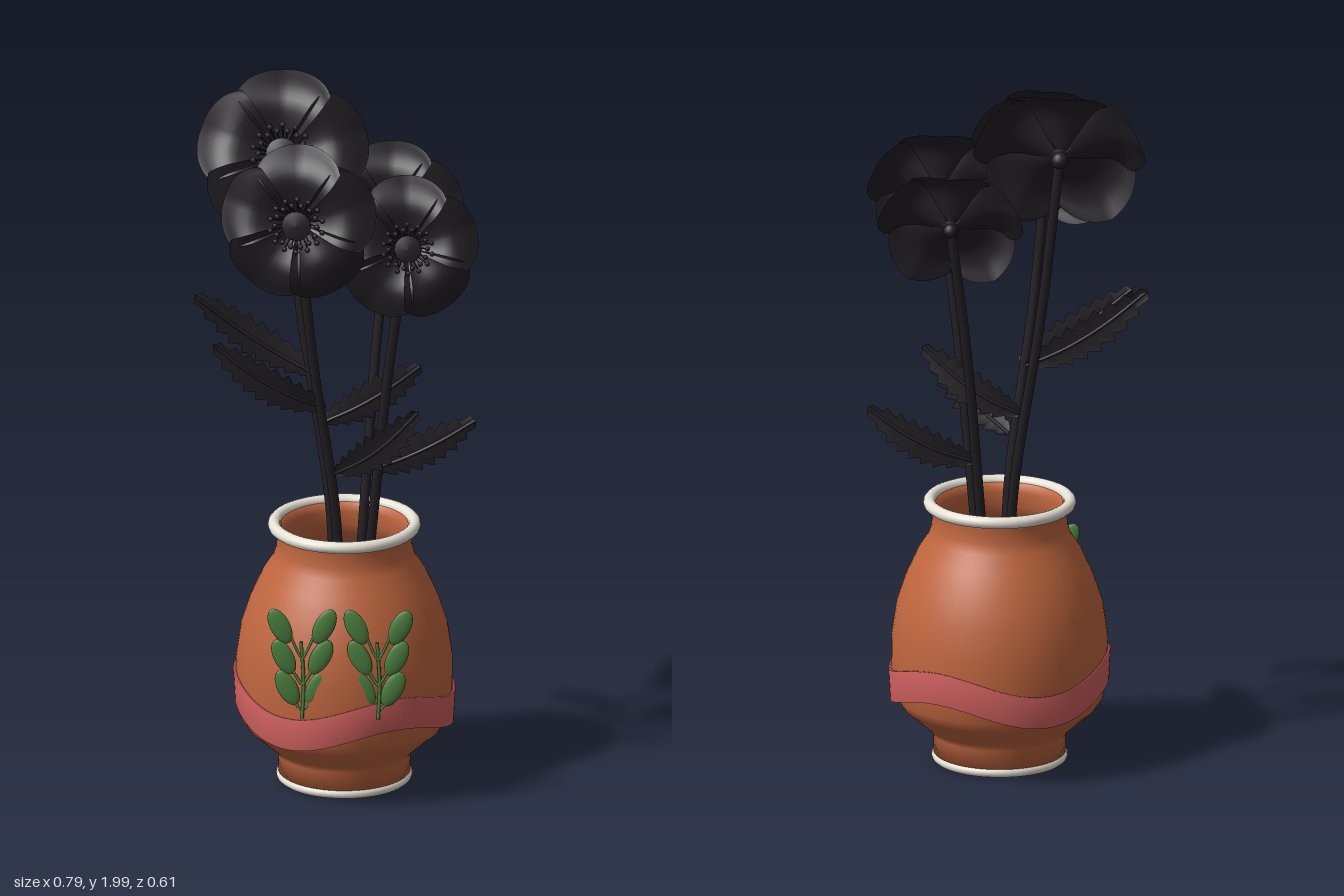
import * as THREE from 'three';

const V = (x, y, z) => new THREE.Vector3(x, y, z);
const mat = (color) => new THREE.MeshStandardMaterial({ color, side: THREE.DoubleSide });
const clay = mat(0xc0663f), pink = mat(0xd0605f), white = mat(0xe6e2d6);
const green = mat(0x4c8040), black = mat(0x231f24);

function add(parent, name, geometry, material) {
  const mesh = new THREE.Mesh(geometry, material);
  mesh.name = name;
  parent.add(mesh);
  return mesh;
}

// Surface from a rule p(u, v), u and v in 0..1
function surface(p, nu, nv) {
  const pos = [], idx = [];
  for (let i = 0; i <= nu; i++) {
    for (let j = 0; j <= nv; j++) {
      pos.push(...p(i / nu, j / nv));
      if (i < nu && j < nv) {
        const a = i * (nv + 1) + j, b = a + nv + 1;
        idx.push(a, b, a + 1, b, b + 1, a + 1);
      }
    }
  }
  const g = new THREE.BufferGeometry();
  g.setAttribute('position', new THREE.Float32BufferAttribute(pos, 3));
  g.setIndex(idx);
  g.computeVertexNormals();
  return g;
}

const tube = (points, r, n = 24) =>
  new THREE.TubeGeometry(new THREE.CatmullRomCurve3(points), n, r, 8);

function makeVase() {
  const vase = new THREE.Group();
  vase.name = 'vase';
  vase.position.x = 0.02;
  // Outer wall, then back down the inside
  const wall = [[0.182, 0.015], [0.184, 0.08], [0.2, 0.1], [0.268, 0.16], [0.287, 0.19], [0.298, 0.26],
    [0.299, 0.36], [0.285, 0.455], [0.26, 0.53], [0.226, 0.605], [0.197, 0.65], [0.188, 0.68],
    [0.185, 0.72], [0.192, 0.745]];
  const outer = [[0.001, 0.015], ...wall];
  const inner = wall.map(([r, y]) => [r - 0.018, Math.max(y, 0.035)]).reverse();
  const profile = [...outer, ...inner, [0.001, 0.035]].map(([r, y]) => new THREE.Vector2(r, y));
  add(vase, 'body', new THREE.LatheGeometry(profile, 64), clay);

  const ring = (name, r, t, y) => {
    const m = add(vase, name, new THREE.TorusGeometry(r, t, 12, 64), white);
    m.rotation.x = Math.PI / 2;
    m.position.y = y;
  };
  ring('rim', 0.194, 0.017, 0.745);
  ring('footRing', 0.174, 0.014, 0.016);

  // Wavy ribbon around the belly, with a thin section
  const section = [[0.292, -0.045], [0.302, -0.045], [0.307, 0.045], [0.292, 0.045], [0.292, -0.045]];
  add(vase, 'wavyBand', surface((u, v) => {
    const a = u * Math.PI * 2, [r, dy] = section[Math.round(v * 4)];
    return [r * Math.cos(a), 0.25 - 0.03 * Math.cos(3 * a) + dy, r * Math.sin(a)];
  }, 96, 4), pink);
  return vase;
}

// Raised sprig of paired oval leaves
function makeSprig(x) {
  const sprig = new THREE.Group();
  sprig.name = 'sprig';
  sprig.position.set(x, 0, 0.282);
  add(sprig, 'sprigStem', tube([V(0, 0.28, 0.012), V(0.004, 0.38, 0), V(-0.003, 0.5, 0)], 0.005), green);
  for (const side of [-1, 1]) {
    for (let i = 0; i < 3; i++) {
      const leaf = add(sprig, 'sprigLeaf', new THREE.SphereGeometry(1, 16, 12), green);
      leaf.scale.set(0.028, 0.055, 0.009);
      leaf.position.set(side * (0.041 + i * 0.01), 0.365 + i * 0.09, 0);
      leaf.rotation.z = -side * 0.45;
      const twig = [V(0, 0.3 + i * 0.075, 0.002), V(side * 0.012, 0.31 + i * 0.08, 0), V(side * 0.03, 0.335 + i * 0.088, 0)];
      add(sprig, 'twig', tube(twig, 0.004, 6), green);
    }
  }
  return sprig;
}

// Forward reach of a petal along its length
const reach = new THREE.SplineCurve([[0, 0], [0.3, 0.1], [0.58, 0.16], [0.8, 0.07], [1, -0.12]]
  .map(([s, w]) => new THREE.Vector2(s, w)));

function makeFlower({ at, R, tilt, yaw }) {
  const flower = new THREE.Group();
  flower.name = 'flower';
  flower.position.set(...at);
  flower.rotation.set(-tilt, yaw, 0, 'YXZ');
  flower.scale.setScalar(R);

  // Cupped petal with a creased tip that curls back
  const petal = surface((u, v) => {
    const t = v * 2 - 1, k = Math.abs(t), p = reach.getPoint(u);
    const a = t * 0.76 * (1 - 0.1 * u * u);
    const s = p.x * (1 - 0.13 * u * k * k * k);
    const w = p.y + u * (0.16 * u * k + 0.16 * k * k + 0.03 * t);
    return [s * Math.sin(a), s * Math.cos(a), w];
  }, 14, 18);
  for (let i = 0; i < 5; i++) {
    add(flower, 'petal', petal, black).rotation.z = i * Math.PI * 0.4;
  }

  // Seed head with a broad cap
  const head = [[0, 0], [0.1, 0.02], [0.15, 0.12], [0.15, 0.22], [0.19, 0.25], [0.18, 0.28], [0, 0.3]];
  const pod = add(flower, 'seedHead',
    new THREE.LatheGeometry(head.map(([r, y]) => new THREE.Vector2(r, y)), 20), black);
  pod.rotation.x = Math.PI / 2;

  // Two rings of stamens
  const anther = new THREE.SphereGeometry(0.036, 8, 6);
  for (let i = 0; i < 28; i++) {
    const a = i / 28 * Math.PI * 2, r = i % 2 ? 0.34 : 0.27, w = i % 2 ? 0.24 : 0.28;
    const c = Math.cos(a), s = Math.sin(a);
    add(flower, 'anther', anther, black).position.set(r * c, r * s, w);
    const path = [V(0.08 * c, 0.08 * s, 0.03), V(r * 0.8 * c, r * 0.8 * s, w * 0.6), V(r * c, r * s, w)];
    add(flower, 'filament', tube(path, 0.01, 5), black);
  }
  // Rounded base behind the petals
  const base = add(flower, 'flowerBase', new THREE.SphereGeometry(0.1, 12, 8), black);
  base.position.z = -0.03;
  return flower;
}

// Toothed leaf folded along its midrib, bowing away from the bunch
function makeLeaf(base, tip) {
  const leaf = new THREE.Group();
  leaf.name = 'leaf';
  const d = tip.clone().sub(base), n = V(-d.y, d.x, 0).normalize(), out = Math.sign(tip.z);
  const mid = (u) => base.clone().addScaledVector(d, u)
    .add(V(0, -0.02 * Math.sin(u * Math.PI), 0.016 * out * Math.sin(u * Math.PI)));
  const teeth = 18;
  add(leaf, 'blade', surface((u, v) => {
    const t = v * 2 - 1, odd = Math.round(u * teeth) % 2;
    const edge = 0.056 * Math.pow(Math.sin(Math.PI * (0.04 + 0.96 * u)), 0.6) * (odd ? 1 : 0.64);
    const p = mid(u + (odd ? 0.03 * Math.abs(t) : 0)).addScaledVector(n, t * edge);
    return [p.x, p.y, p.z + 0.006 * out * Math.abs(t)];
  }, teeth, 2), black);
  add(leaf, 'midrib', tube([0, 0.33, 0.66, 1].map(mid), 0.005, 12), black);
  return leaf;
}

export function createModel() {
  const model = new THREE.Group();
  model.name = 'vaseOfFlowers';
  model.add(makeVase(), makeSprig(-0.085), makeSprig(0.125));

  // neck: where each stem passes the mouth of the vase
  const flowers = [
    { at: [-0.155, 1.78, -0.12], R: 0.24, tilt: 0.42, yaw: 0, neck: [-0.02, 0.77, -0.045] },
    { at: [-0.1, 1.69, 0.172], R: 0.217, tilt: 0.18, yaw: -0.07, neck: [0, 0.77, 0.052] },
    { at: [0.197, 1.6, 0.115], R: 0.2, tilt: 0.28, yaw: 0.1, neck: [0.1, 0.77, 0.045] },
    { at: [0.142, 1.59, -0.187], R: 0.203, tilt: 0.42, yaw: 0, neck: [0.072, 0.77, -0.055] },
  ];
  for (const f of flowers) {
    model.add(makeFlower(f));
    const top = V(...f.at), neck = V(...f.neck);
    const foot = V(neck.x * 0.6 + 0.005, 0.4, neck.z * 0.5);
    const bend = neck.clone().lerp(top, 0.55).add(V(-0.008, 0, 0));
    add(model, 'stem', tube([foot, neck, bend, top], 0.0135, 32), black);
  }

  const leaves = [
    [V(-0.06, 1.16, -0.06), V(-0.395, 1.385, -0.06)],
    [V(-0.03, 1.12, 0.095), V(-0.335, 1.32, 0.15)],
    [V(0, 0.92, 0.07), V(0.23, 1.13, 0.15)],
    [V(0.085, 0.88, -0.06), V(0.38, 1.03, -0.065)],
    [V(-0.04, 1.02, -0.06), V(0.23, 1.2, -0.03)],
  ];
  for (const [base, tip] of leaves) model.add(makeLeaf(base, tip));
  return model;
}
